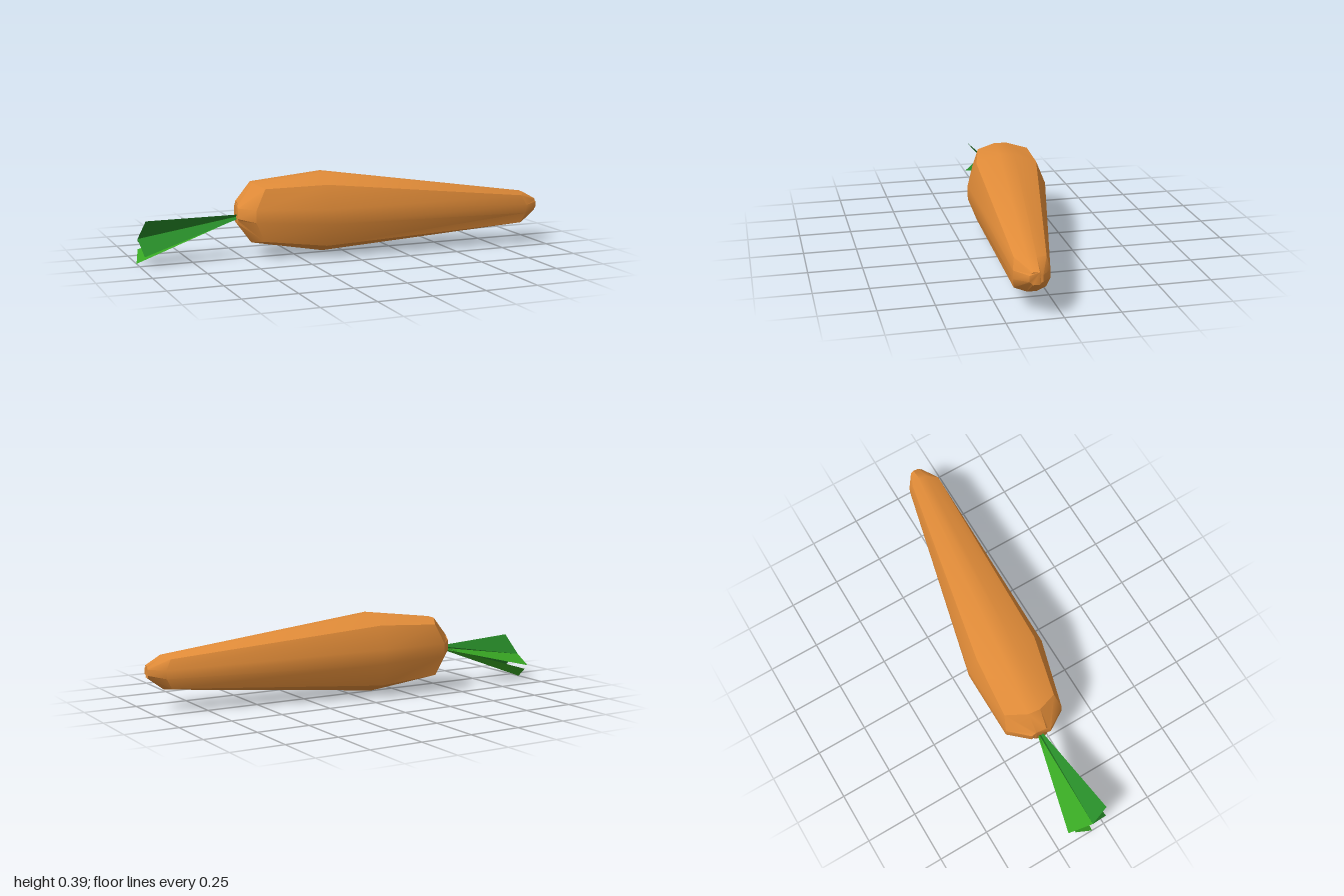
import * as THREE from 'three';
import { toCreasedNormals } from 'three/addons/utils/BufferGeometryUtils.js';

const V = (x, y, z) => new THREE.Vector3(x, y, z);

// Rounded-square cross-sections: centre, half width of the flats, half length
// of each flat, half width at the corners, corner shift along x.
const RINGS = [
  { c: [-0.517, 0.215, -0.06], flat: 0.05, len: 0.025, corner: 0.037, shift: 0.005 },
  { c: [-0.445, 0.212, -0.057], flat: 0.143, len: 0.03, corner: 0.125, shift: 0.045 },
  { c: [-0.105, 0.205, -0.01], flat: 0.19, len: 0.035, corner: 0.146, shift: -0.005 },
  { c: [0.92, 0.178, 0.122], flat: 0.078, len: 0.02, corner: 0.068, shift: -0.025 },
  { c: [0.997, 0.187, 0.121], flat: 0.028, len: 0.014, corner: 0.021, shift: -0.003 },
];

// Twelve points per ring, tilted square to the root's slanting axis
function ringPoints({ c, flat, len, corner, shift }) {
  const points = [];
  for (let side = 0; side < 4; side++) {
    const a = side * Math.PI / 2, cos = Math.cos(a), sin = Math.sin(a);
    for (const [u, v, s] of [[-len, flat, 0], [len, flat, 0], [corner, corner, shift]]) {
      const dz = u * cos + v * sin, dy = v * cos - u * sin;
      points.push(V(c[0] + s - 0.125 * dz + 0.02 * dy, c[1] + dy, c[2] + dz));
    }
  }
  return points;
}

function rootGeometry() {
  const n = 12, positions = [], index = [];
  for (const ring of RINGS) for (const p of ringPoints(ring)) positions.push(p.x, p.y, p.z);
  for (let r = 0; r < RINGS.length - 1; r++) {
    for (let i = 0; i < n; i++) {
      const a = r * n + i, b = r * n + (i + 1) % n;
      index.push(a, b, a + n, b, b + n, a + n);
    }
  }
  // End caps
  const last = (RINGS.length - 1) * n;
  for (let i = 1; i < n - 1; i++) {
    index.push(0, i + 1, i, last, last + i, last + i + 1);
  }
  const g = new THREE.BufferGeometry();
  g.setAttribute('position', new THREE.Float32BufferAttribute(positions, 3));
  g.setIndex(index);
  return toCreasedNormals(g, 0.66);
}

// Leaf blade: a narrow base fanning out to the edge between p and q
function leafGeometry(p, q) {
  const base = V(-0.5, 0.195, -0.06);
  const half = q.clone().sub(p).setLength(0.012);
  const pts = [base.clone().sub(half), base.clone().add(half), p, q];
  const g = new THREE.BufferGeometry().setFromPoints(pts);
  g.setIndex([0, 1, 3, 0, 3, 2]);
  g.computeVertexNormals();
  return g;
}

export function createModel() {
  const model = new THREE.Group();
  model.name = 'carrot';
  const material = (name, color, side = THREE.FrontSide) => {
    const m = new THREE.MeshStandardMaterial({ color, side });
    m.name = name;
    return m;
  };
  const orange = material('orange', 0xe08b38);
  const lightGreen = material('light green', 0x38a623, THREE.DoubleSide);
  const darkGreen = material('dark green', 0x278a28, THREE.DoubleSide);

  const add = (name, geometry, mat) => {
    const mesh = new THREE.Mesh(geometry, mat);
    mesh.name = name;
    model.add(mesh);
  };

  add('root', rootGeometry(), orange);

  // Leaves: a folded one at the back, a low one and one towards the front
  const fold = V(-0.992, 0.12, -0.065);
  add('backLeaf', leafGeometry(V(-0.965, 0.08, -0.18), fold), lightGreen);
  add('upperLeaf', leafGeometry(fold, V(-0.97, 0.215, 0.015)), darkGreen);
  add('lowerLeaf', leafGeometry(V(-1, 0.003, -0.065), V(-0.975, 0.055, -0.145)), lightGreen);
  add('frontLeaf', leafGeometry(V(-0.98, 0.05, 0.022), fold), darkGreen);
  return model;
}
